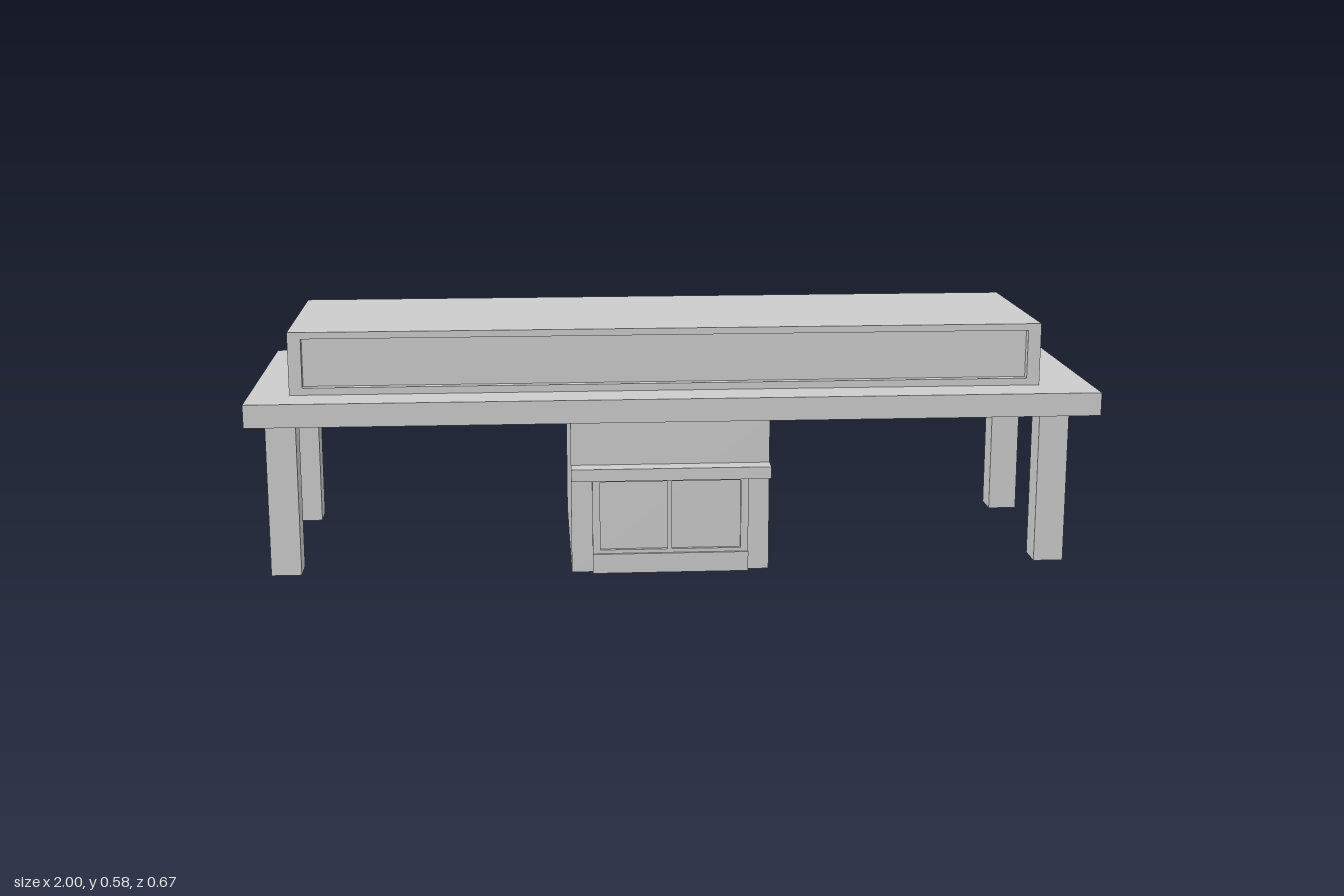
import * as THREE from 'three';

const mat = new THREE.MeshStandardMaterial({ color: 0xcccccc, flatShading: true, side: THREE.DoubleSide });

export function createModel() {
  const model = new THREE.Group();

  // Box from its limits; an open box has no bottom face
  function box(name, [x0, x1], [y0, y1], [z0, z1], parent = model, open = false) {
    const g = new THREE.BoxGeometry(x1 - x0, y1 - y0, z1 - z0);
    if (open) {
      const idx = Array.from(g.index.array);
      idx.splice(18, 6); // the -y face
      g.setIndex(idx);
    }
    const m = new THREE.Mesh(g, mat);
    m.name = name;
    m.position.set((x0 + x1) / 2, (y0 + y1) / 2, (z0 + z1) / 2);
    parent.add(m);
    return m;
  }

  // Wide flat roof slab
  box('roofSlab', [-1, 1], [0.373, 0.428], [-0.335, 0.335]);

  // Raised sign box: recessed panels framed by plates and corner posts
  const sign = new THREE.Group();
  sign.name = 'signBox';
  model.add(sign);
  const X = [-0.905, 0.875], Z = [-0.235, 0.235], d = 0.02, w = 0.031;
  box('signPanels', [X[0] + d, X[1] - d], [0.445, 0.561], [Z[0] + d, Z[1] - d], sign);
  box('signBottomRail', X, [0.428, 0.445], Z, sign);
  box('signTopPlate', X, [0.561, 0.577], Z, sign);
  for (const x of [X[0], X[1] - w])
    for (const z of [Z[0], Z[1] - w])
      box('signCornerPost', [x, x + w], [0.445, 0.561], [z, z + w], sign);

  // Four hollow square legs
  for (const x of [-0.96, 0.87])
    for (const z of [-0.281, 0.2])
      box('leg', [x, x + 0.071], [0, 0.373], [z, z + 0.071], model, true);

  // Central booth, open underneath
  const booth = new THREE.Group();
  booth.name = 'booth';
  model.add(booth);
  box('boothBody', [-0.25, 0.22], [0, 0.373], [-0.292, 0.29], booth, true);
  box('awning', [-0.25, 0.22], [0.233, 0.262], [0.29, 0.335], booth);
  box('plinth', [-0.2, 0.17], [0, 0.047], [0.29, 0.305], booth);

  // Window frame on the booth front: three uprights, sill and head
  for (const [a, b] of [[-0.2, -0.182], [-0.022, -0.012], [0.152, 0.17]])
    box('windowUpright', [a, b], [0.047, 0.233], [0.29, 0.299], booth);
  box('windowSill', [-0.182, 0.152], [0.047, 0.056], [0.29, 0.299], booth);
  box('windowHead', [-0.182, 0.152], [0.222, 0.233], [0.29, 0.299], booth);

  return model;
}
